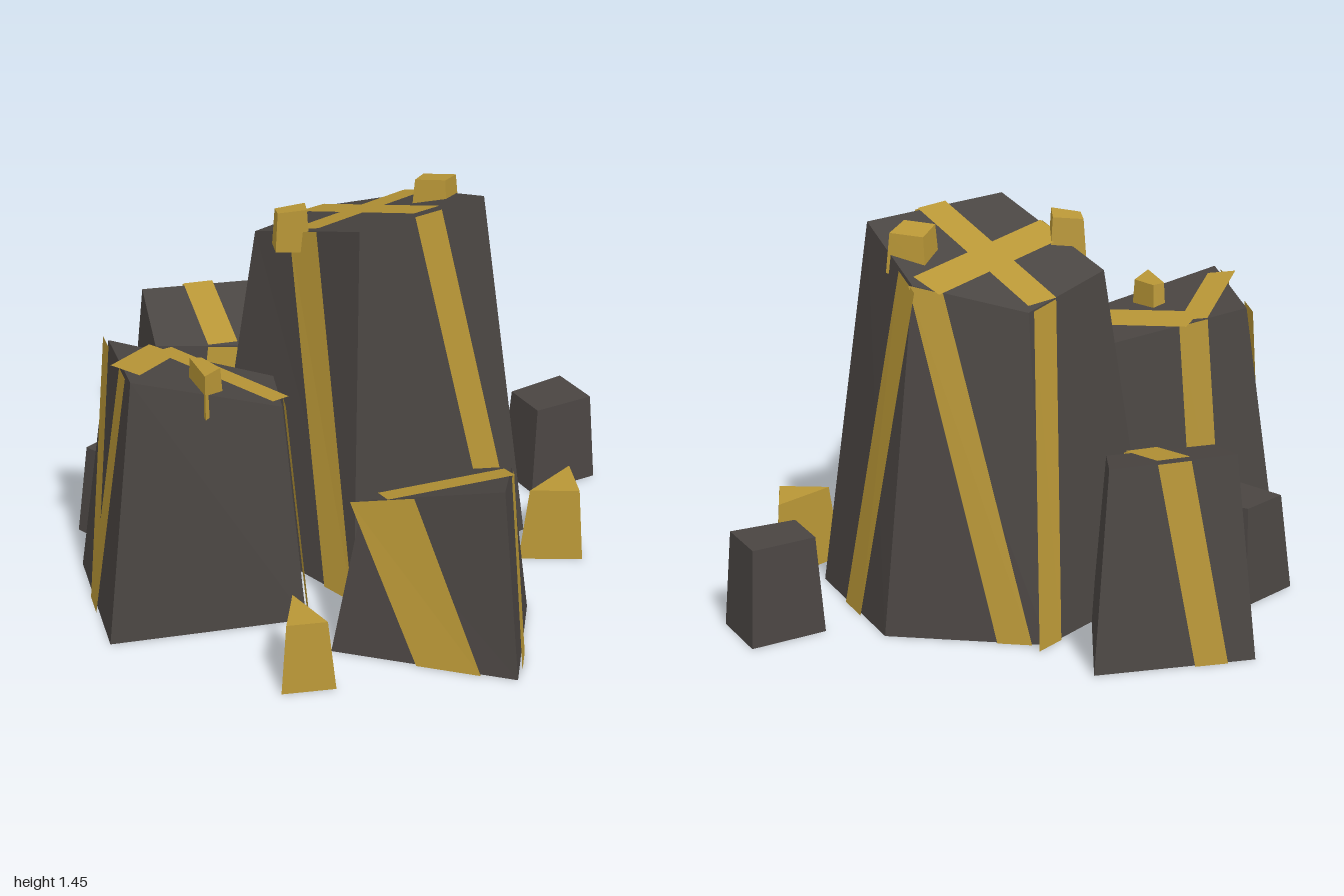
import * as THREE from 'three';

// Both materials are double sided: the blocks are hollow, open shells
const stone = new THREE.MeshStandardMaterial({ color: 0x4a4542, flatShading: true, side: THREE.DoubleSide });
stone.name = 'dark stone';
const gold = new THREE.MeshStandardMaterial({ color: 0xb89636, flatShading: true, side: THREE.DoubleSide });
gold.name = 'gold ore';

const LIFT = 0.012; // veins float this far above the stone
const { lerp } = THREE.MathUtils;
const V = (x, y, z) => new THREE.Vector3(x, y, z);

function meshFrom(points, material, name) {
  const g = new THREE.BufferGeometry().setFromPoints(points);
  g.computeVertexNormals();
  const m = new THREE.Mesh(g, material);
  m.name = name;
  return m;
}

// Block open at the bottom; its two rings run clockwise as seen from above
function block(bottom, top, material, name) {
  const pts = [];
  const n = bottom.length;
  for (let i = 0; i < n; i++) {
    const j = (i + 1) % n;
    pts.push(bottom[i], top[i], top[j], bottom[i], top[j], bottom[j]);
    if (i > 0 && i < n - 1) pts.push(top[0], top[i + 1], top[i]);
  }
  return meshFrom(pts, material, name);
}

// Upper ring: the footprint shrunk towards a pivot, at a height given by a rule
function shrink(ring, [px, pz], taper, height) {
  return ring.map(([x, z]) => {
    const tx = lerp(px, x, taper), tz = lerp(pz, z, taper);
    return V(tx, height(tx, tz), tz);
  });
}

// Straight vein down a side face; it may run past the face's edge
function sideVein(A, B, C, D, uTop, uBase, width) {
  const normal = C.clone().sub(A).cross(B.clone().sub(D)).normalize();
  const place = (from, to, u, side) => {
    const along = to.clone().sub(from);
    const shift = u + side * width / 2 / along.length();
    return from.clone().addScaledVector(along, shift).addScaledVector(normal, LIFT);
  };
  const a = place(A, B, uBase, -1), b = place(A, B, uBase, 1);
  const c = place(D, C, uTop, 1), d = place(D, C, uTop, -1);
  return meshFrom([a, d, c, a, c, b], gold, 'sideVein');
}

// Straight vein across a slanted top, from edge point p to edge point q
function topVein(height, p, q, width) {
  const along = V(q.x - p.x, 0, q.z - p.z).normalize();
  const corner = (end, side) => {
    const x = end.x - side * along.z * width / 2, z = end.z + side * along.x * width / 2;
    return V(x, height(x, z) + LIFT, z);
  };
  const a = corner(p, 1), b = corner(q, 1), c = corner(q, -1), d = corner(p, -1);
  return meshFrom([a, b, c, a, c, d], gold, 'topVein');
}

// Big rock with a slanted top.
// slant: height at the origin, slope in x, slope in z
// veins: side face, place on its top edge, place on its bottom edge, own width
// links: pairs of veins joined across the top
function rock(name, { footprint, pivot, taper, slant, width, veins, links }) {
  const group = new THREE.Group();
  group.name = name;
  const height = (x, z) => slant[0] + slant[1] * x + slant[2] * z;
  const bottom = footprint.map(([x, z]) => V(x, 0, z));
  const top = shrink(footprint, pivot, taper, height);
  group.add(block(bottom, top, stone, 'stone'));

  const ends = veins.map(([i, uTop, uBase, ownWidth = width]) => {
    const j = (i + 1) % bottom.length;
    group.add(sideVein(bottom[i], bottom[j], top[j], top[i], uTop, uBase, ownWidth));
    return top[i].clone().lerp(top[j], uTop);
  });
  for (const [a, b] of links) group.add(topVein(height, ends[a], ends[b], width));
  return group;
}

// Small block tapered about its own middle, its top sloping in x and z
function chunk(name, material, ring, y0, y1, taper, slopeX = 0, slopeZ = 0) {
  const middle = [0, 1].map((k) => ring.reduce((sum, p) => sum + p[k], 0) / ring.length);
  const bottom = ring.map(([x, z]) => V(x, y0, z));
  const height = (x, z) => y1 + slopeX * (x - middle[0]) + slopeZ * (z - middle[1]);
  return block(bottom, shrink(ring, middle, taper, height), material, name);
}

export function createModel() {
  const model = new THREE.Group();
  model.name = 'goldOreRocks';

  // Big rocks
  model.add(rock('tallRock', {
    footprint: [[-0.49, -0.18], [-0.19, -0.73], [0.4, -0.755], [0.74, -0.29], [0.14, 0.31]],
    pivot: [0.1, -0.36], taper: 0.69, slant: [1.382, 0.212, 0.257], width: 0.125,
    veins: [[0, 0.82, 1], [1, 0.88, 0.2], [2, 0.06, 0.47, 0.14], [3, 0.47, 0.14], [4, 0.51, 0.09, 0.15]],
    links: [[0, 3], [1, 4]],
  }));
  model.add(rock('backRock', {
    footprint: [[-0.93, -0.72], [-0.39, -0.95], [-0.305, -0.455], [-0.785, -0.315]],
    pivot: [-0.545, -0.59], taper: 0.78, slant: [0.482, -0.139, -0.228], width: 0.12,
    veins: [[0, 0.5, 0.28], [2, 0.32, 0.5]],
    links: [[0, 1]],
  }));
  model.add(rock('frontRock', {
    footprint: [[-0.93, 0.19], [-0.13, 0.04], [-0.02, 0.46], [-0.71, 0.72]],
    pivot: [-0.36, 0.31], taper: 0.74, slant: [0.764, -0.241, 0.207], width: 0.11,
    veins: [[0, 0.33, 0.33], [1, 0.84, 0.9], [3, 0.22, 0.48], [3, 0.97, 0.48]],
    links: [[0, 1], [0, 2]],
  }));
  model.add(rock('lowRock', {
    footprint: [[0.1, 0.655], [0.415, 0.205], [0.79, 0.26], [0.79, 0.75]],
    pivot: [0.505, 0.462], taper: 0.735, slant: [0.41, 0.184, 0.286], width: 0.12,
    veins: [[2, 0.32, 0.755], [3, 0.86, 0.365, 0.24]],
    links: [[0, 1]],
  }));

  // Loose stones and gold shards on the ground
  model.add(chunk('smallStoneBack', stone,
    [[0.62, -0.75], [0.84, -0.945], [0.995, -0.75], [0.755, -0.575]], 0, 0.365, 0.84));
  model.add(chunk('smallStoneSide', stone,
    [[-1, -0.055], [-0.855, -0.27], [-0.7, -0.21], [-0.75, 0.105]], 0, 0.37, 0.74));
  model.add(chunk('goldShardSide', gold, [[0.735, -0.07], [0.915, -0.345], [0.98, -0.1]], 0, 0.295, 0.77));
  model.add(chunk('goldShardFront', gold, [[-0.05, 0.68], [0.15, 0.89], [-0.04, 0.95]], 0, 0.275, 0.75));

  // Nuggets half sunk into the rock tops
  model.add(chunk('goldNugget', gold,
    [[-0.225, -0.12], [-0.1, -0.165], [-0.075, -0.06], [-0.2, -0.045]], 1.265, 1.42, 0.85, 0.15, 0.1));
  model.add(chunk('goldNugget', gold,
    [[0.29, -0.495], [0.435, -0.485], [0.4, -0.36], [0.265, -0.37]], 1.28, 1.432, 0.85, 0.05, 0.2));
  model.add(chunk('goldNugget', gold,
    [[-0.46, 0.375], [-0.415, 0.35], [-0.32, 0.43], [-0.365, 0.545]], 0.87, 1.03, 0.85, -0.1, 0.1));
  return model;
}
